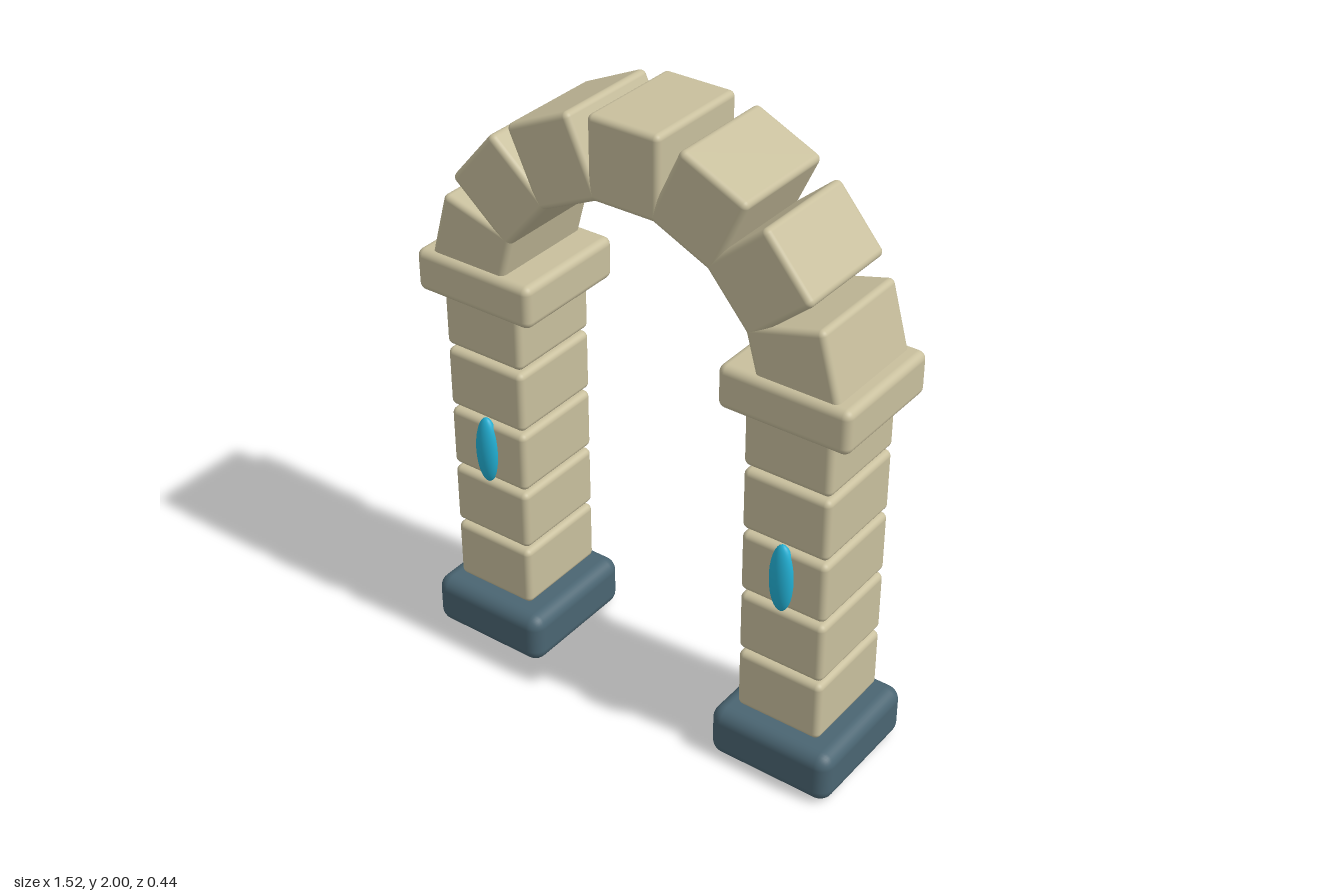
import * as THREE from 'three';
import { RoundedBoxGeometry } from 'three/addons/geometries/RoundedBoxGeometry.js';

const stone = new THREE.MeshStandardMaterial({ color: 0xc8bf9d });
stone.name = 'sandstone';
const slate = new THREE.MeshStandardMaterial({ color: 0x4a6572 });
slate.name = 'slate';
const cyan = new THREE.MeshStandardMaterial({ color: 0x22b0d4 });
cyan.name = 'cyan gem';

function block(parent, name, size, radius, material, x, y, z = 0) {
  const mesh = new THREE.Mesh(new RoundedBoxGeometry(...size, 4, radius), material);
  mesh.name = name;
  mesh.position.set(x, y, z);
  parent.add(mesh);
  return mesh;
}

// Pillar: plinth, five stacked stones, capital and a gem on the front
function createPillar(name, x) {
  const pillar = new THREE.Group();
  pillar.name = name;
  pillar.position.x = x;
  block(pillar, 'plinth', [0.425, 0.175, 0.44], 0.045, slate, 0, 0.0875);
  for (let i = 0; i < 5; i++) {
    block(pillar, 'pillarStone', [0.29, 0.206, 0.334], 0.02, stone, 0, 0.293 + i * 0.219);
  }
  block(pillar, 'capital', [0.427, 0.14, 0.408], 0.025, stone, 0, 1.32);

  const gem = new THREE.Mesh(new THREE.SphereGeometry(1, 32, 20), cyan);
  gem.name = 'gem';
  gem.scale.set(0.04, 0.117, 0.03);
  gem.position.set(0, 0.735, 0.167);
  pillar.add(gem);
  return pillar;
}

// Arch: seven stones turned around a common centre
function createArch() {
  const arch = new THREE.Group();
  arch.name = 'arch';
  const centreY = 1.29, radius = 0.58, step = THREE.MathUtils.degToRad(24.8);
  for (let i = -3; i <= 3; i++) {
    const a = i * step;
    const voussoir = block(arch, i === 0 ? 'keystone' : 'archStone', [0.24, 0.26, 0.365], 0.018, stone,
      Math.sin(a) * radius, centreY + Math.cos(a) * radius);
    voussoir.rotation.z = -a;
  }
  return arch;
}

export function createModel() {
  const model = new THREE.Group();
  model.name = 'stoneArchway';
  model.add(createPillar('leftPillar', 0.545), createPillar('rightPillar', -0.545), createArch());
  return model;
}
